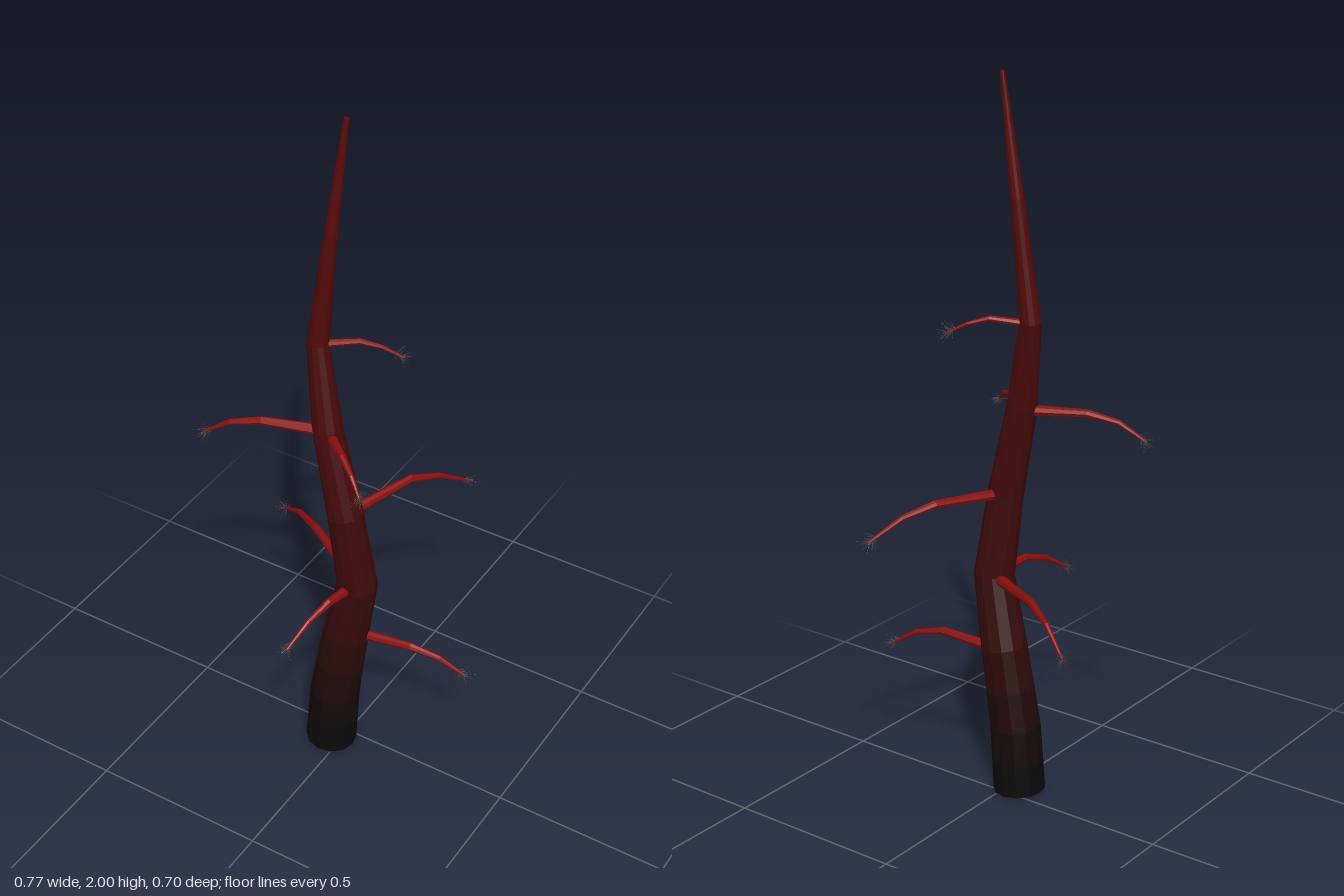
import * as THREE from 'three';
import { mergeGeometries } from 'three/addons/utils/BufferGeometryUtils.js';

const V = (x, y, z) => new THREE.Vector3(x, y, z);

// Small seeded generator for the twig spread
function seeded(seed) {
  return () => {
    seed = (seed * 16807) % 2147483647;
    return seed / 2147483647;
  };
}

// Closed tapering limb through rings of [x, y, z, radius], one material group per segment
function limb(rings, sides) {
  const centres = rings.map(([x, y, z]) => V(x, y, z));
  const first = centres[1].clone().sub(centres[0]);
  const ref = Math.abs(first.y) > first.length() * 0.7 ? V(0, 0, 1) : V(0, 1, 0);
  const last = rings.length - 1;
  const pos = [];
  const index = [];
  rings.forEach((ring, i) => {
    const c = centres[i];
    const tangent = V(0, 0, 0);
    if (i > 0) tangent.add(c.clone().sub(centres[i - 1]).normalize());
    if (i < last) tangent.add(centres[i + 1].clone().sub(c).normalize());
    tangent.normalize();
    const u = V(0, 0, 0).crossVectors(ref, tangent).normalize();
    const w = V(0, 0, 0).crossVectors(tangent, u);
    for (let k = 0; k < sides; k++) {
      const a = (k / sides) * Math.PI * 2;
      const p = c.clone().addScaledVector(u, Math.cos(a) * ring[3]).addScaledVector(w, Math.sin(a) * ring[3]);
      pos.push(p.x, p.y, p.z);
    }
  });
  const geo = new THREE.BufferGeometry();
  for (let i = 0; i < last; i++) {
    const start = index.length;
    for (let k = 0; k < sides; k++) {
      const a = i * sides + k;
      const b = i * sides + ((k + 1) % sides);
      index.push(a, b, b + sides, a, b + sides, a + sides);
    }
    // End caps as fans
    for (let k = 1; k < sides - 1; k++) {
      if (i === 0) index.push(0, k + 1, k);
      if (i === last - 1) index.push(last * sides, last * sides + k, last * sides + k + 1);
    }
    geo.addGroup(start, index.length - start, i);
  }
  geo.setAttribute('position', new THREE.Float32BufferAttribute(pos, 3));
  geo.setIndex(index);
  geo.computeVertexNormals();
  return geo;
}

// Spray of hair-thin needles around the end of a branch
function twigSpray(tip, dir, rand) {
  const needles = [];
  for (let i = 0; i < 34; i++) {
    const length = 0.022 + rand() * 0.026;
    const d = V(rand() - 0.5, rand() - 0.5, rand() - 0.5).normalize();
    d.multiplyScalar(0.95).add(dir).normalize();
    const cone = new THREE.ConeGeometry(0.0009, length, 3, 1, true);
    cone.translate(0, length / 2, 0);
    cone.applyQuaternion(new THREE.Quaternion().setFromUnitVectors(V(0, 1, 0), d));
    const root = tip.clone().addScaledVector(dir, -rand() * 0.03);
    cone.translate(root.x, root.y, root.z);
    needles.push(cone);
  }
  return mergeGeometries(needles);
}

export function createModel() {
  const model = new THREE.Group();
  model.name = 'bareTree';
  const flat = (color) => new THREE.MeshStandardMaterial({ color, flatShading: true });

  // Trunk: crooked taper, charred at the foot and redder towards the top
  const trunkRings = [
    [-0.034, 0.01, 0.04, 0.072],
    [-0.028, 0.1, 0.039, 0.071],
    [-0.021, 0.2, 0.038, 0.07],
    [-0.006, 0.31, 0.034, 0.067],
    [0.012, 0.43, 0.031, 0.064],
    [0.054, 0.63, 0.042, 0.056],
    [0.025, 0.87, 0.056, 0.049],
    [-0.035, 1.12, 0.045, 0.041],
    [-0.077, 1.36, 0.022, 0.029],
    [-0.048, 1.68, 0.003, 0.018],
    [-0.012, 2.0, -0.012, 0.007],
  ];
  const trunkColors = [0x0c0a0a, 0x140a0a, 0x200a0a, 0x2c0a0a, 0x360a0b, 0x3e0a0b, 0x440a0b, 0x4a0a0b, 0x520b0b, 0x5a0b0b];
  const trunk = new THREE.Mesh(limb(trunkRings, 12), trunkColors.map(flat));
  trunk.name = 'trunk';
  model.add(trunk);

  // Branches: root inside the trunk, elbow, bend, drooping tip, root radius
  const branches = [
    [[0.012, 0.42, 0.02], [0.2, 0.435, 0.0], [0.28, 0.417, -0.018], [0.35, 0.372, -0.037], 0.016],
    [[0.054, 0.63, 0.042], [0.037, 0.64, 0.16], [0.021, 0.62, 0.235], [0.003, 0.573, 0.31], 0.016],
    [[0.04, 0.625, 0.03], [-0.16, 0.64, -0.085], [-0.25, 0.62, -0.14], [-0.335, 0.565, -0.19], 0.016],
    [[0.03, 0.865, 0.04], [0.1, 0.876, -0.155], [0.145, 0.852, -0.235], [0.192, 0.798, -0.318], 0.016],
    [[-0.035, 1.11, 0.045], [-0.2, 1.117, 0.105], [-0.28, 1.1, 0.133], [-0.35, 1.055, 0.157], 0.016],
    [[-0.03, 1.11, 0.05], [0.06, 1.117, 0.125], [0.11, 1.1, 0.162], [0.155, 1.065, 0.195], 0.014],
    [[-0.077, 1.355, 0.022], [0.015, 1.366, -0.03], [0.065, 1.35, -0.058], [0.115, 1.322, -0.082], 0.011],
  ];
  const taper = [1, 0.72, 0.5, 0.26];
  const red = flat(0x860e0e);
  const grey = new THREE.MeshStandardMaterial({ color: 0x4a4a4a, side: THREE.DoubleSide });
  const rand = seeded(71);
  branches.forEach(([root, elbow, bend, end, radius], n) => {
    const points = [root, elbow, bend, end];
    const geo = limb(points.map((p, i) => [...p, radius * taper[i]]), 8);
    geo.clearGroups();
    const branch = new THREE.Mesh(geo, red);
    branch.name = `branch${n + 1}`;
    const tip = V(...end);
    const dir = tip.clone().sub(V(...bend)).normalize();
    const twigs = new THREE.Mesh(twigSpray(tip, dir, rand), grey);
    twigs.name = `twigs${n + 1}`;
    model.add(branch, twigs);
  });

  return model;
}
